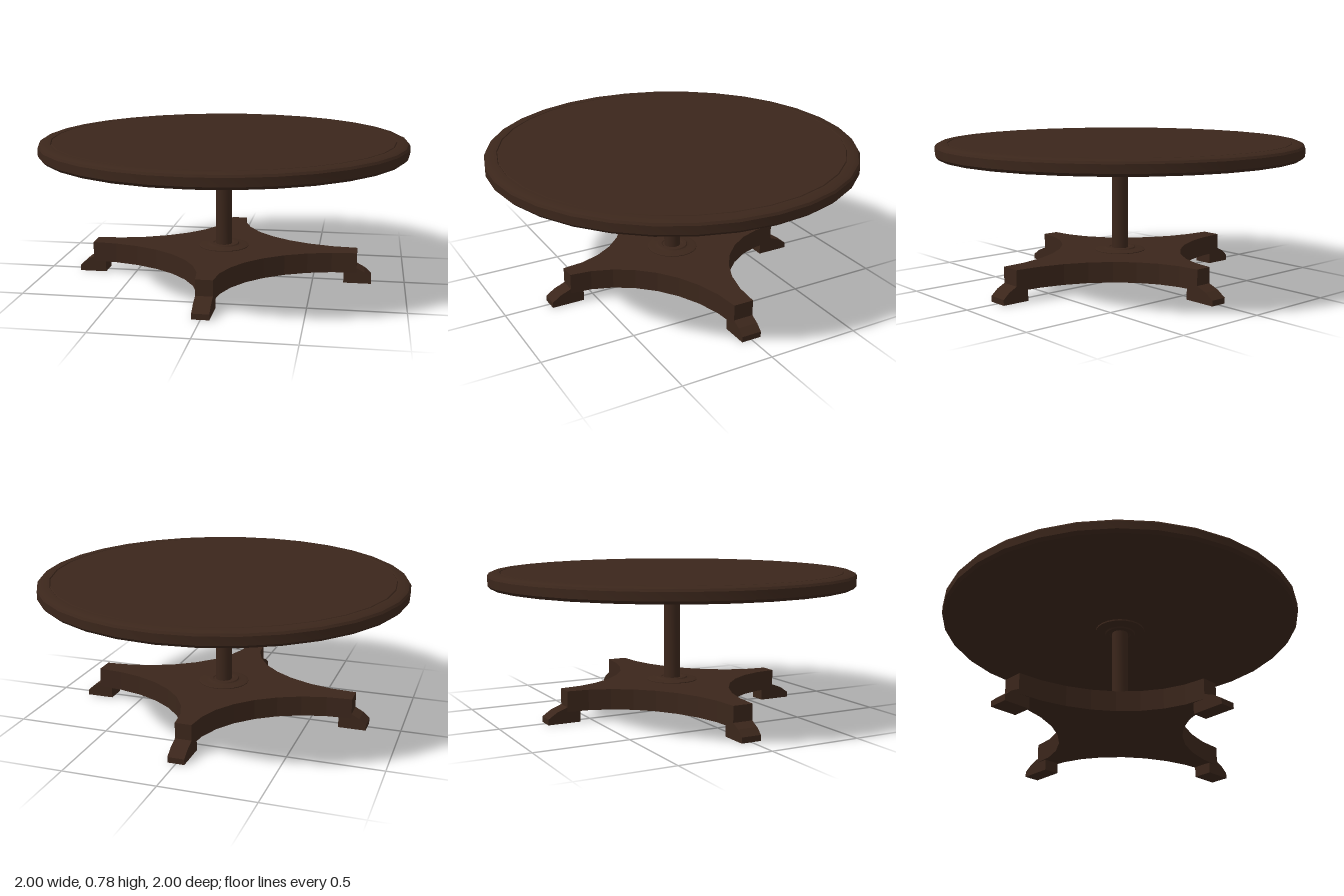
import * as THREE from 'three';
import { toCreasedNormals } from 'three/addons/utils/BufferGeometryUtils.js';

const wood = new THREE.MeshStandardMaterial({ color: 0x3b261b });

function part(name, geometry) {
  const mesh = new THREE.Mesh(geometry, wood);
  mesh.name = name;
  return mesh;
}

// Turned part from [radius, height] pairs, listed from bottom to top
function turned(name, profile, sides) {
  const points = profile.map(([r, y]) => new THREE.Vector2(r, y));
  return part(name, toCreasedNormals(new THREE.LatheGeometry(points, sides), 0.5));
}

// Cross-shaped base: four concave quarter ellipses joined by the flat leg ends
function basePlate(endX, endZ, halfX, halfZ, bottom, top) {
  const shape = new THREE.Shape();
  const rx = endX - halfX, rz = endZ - halfZ, q = Math.PI / 2;
  shape.moveTo(endX, halfZ);
  [[1, 1], [-1, 1], [-1, -1], [1, -1]].forEach(([sx, sz], i) => {
    const start = (3 + i) * q;
    shape.absellipse(sx * endX, sz * endZ, rx, rz, start, start - q, true);
  });
  shape.closePath();
  const geometry = new THREE.ExtrudeGeometry(shape, { depth: top - bottom, bevelEnabled: false, curveSegments: 4 });
  geometry.rotateX(-Math.PI / 2).translate(0, bottom, 0);
  return part('basePlate', geometry);
}

// Foot with a sloping toe, extending along +x before it is turned into place
function foot(end, inner, outer, width, angle) {
  const shape = new THREE.Shape([
    [inner, 0], [outer, 0], [outer, 0.03], [end + (outer - end) * 0.55, 0.062],
    [end, 0.085], [end - 0.005, 0.085], [end - 0.005, 0.062], [inner, 0.062],
  ].map(([x, y]) => new THREE.Vector2(x, y)));
  const geometry = new THREE.ExtrudeGeometry(shape, { depth: width, bevelEnabled: false });
  geometry.translate(0, 0, -width / 2).rotateY(angle);
  return part('foot', geometry);
}

export function createModel() {
  const table = new THREE.Group();
  table.name = 'roundPedestalTable';

  // Top with chamfered rim and a fine groove
  table.add(turned('tableTop', [
    [0, 0.7], [0.985, 0.7], [1, 0.715], [1, 0.758], [0.992, 0.77], [0.975, 0.778],
    [0.934, 0.778], [0.93, 0.773], [0.926, 0.778], [0, 0.778],
  ], 32));

  // Column and its stepped collars
  table.add(turned('column', [[0.045, 0.16], [0.045, 0.69]], 16));
  const collar = [[0.138, 0], [0.138, 0.008], [0.125, 0.013], [0.1, 0.013], [0.085, 0.018],
    [0.08, 0.025], [0.06, 0.025], [0.055, 0.02], [0.044, 0.02]];
  table.add(turned('lowerCollar', collar.map(([r, y]) => [r, 0.167 + y * 0.8]), 24));
  table.add(turned('upperCollar', collar.map(([r, y]) => [r, 0.7 - y]).reverse(), 24));

  // Base and four feet
  table.add(basePlate(0.74, 0.643, 0.045, 0.055, 0.06, 0.17));
  for (const turn of [0, Math.PI]) {
    table.add(foot(0.74, 0.67, 0.82, 0.11, turn));
    table.add(foot(0.643, 0.57, 0.75, 0.09, turn + Math.PI / 2));
  }
  return table;
}
